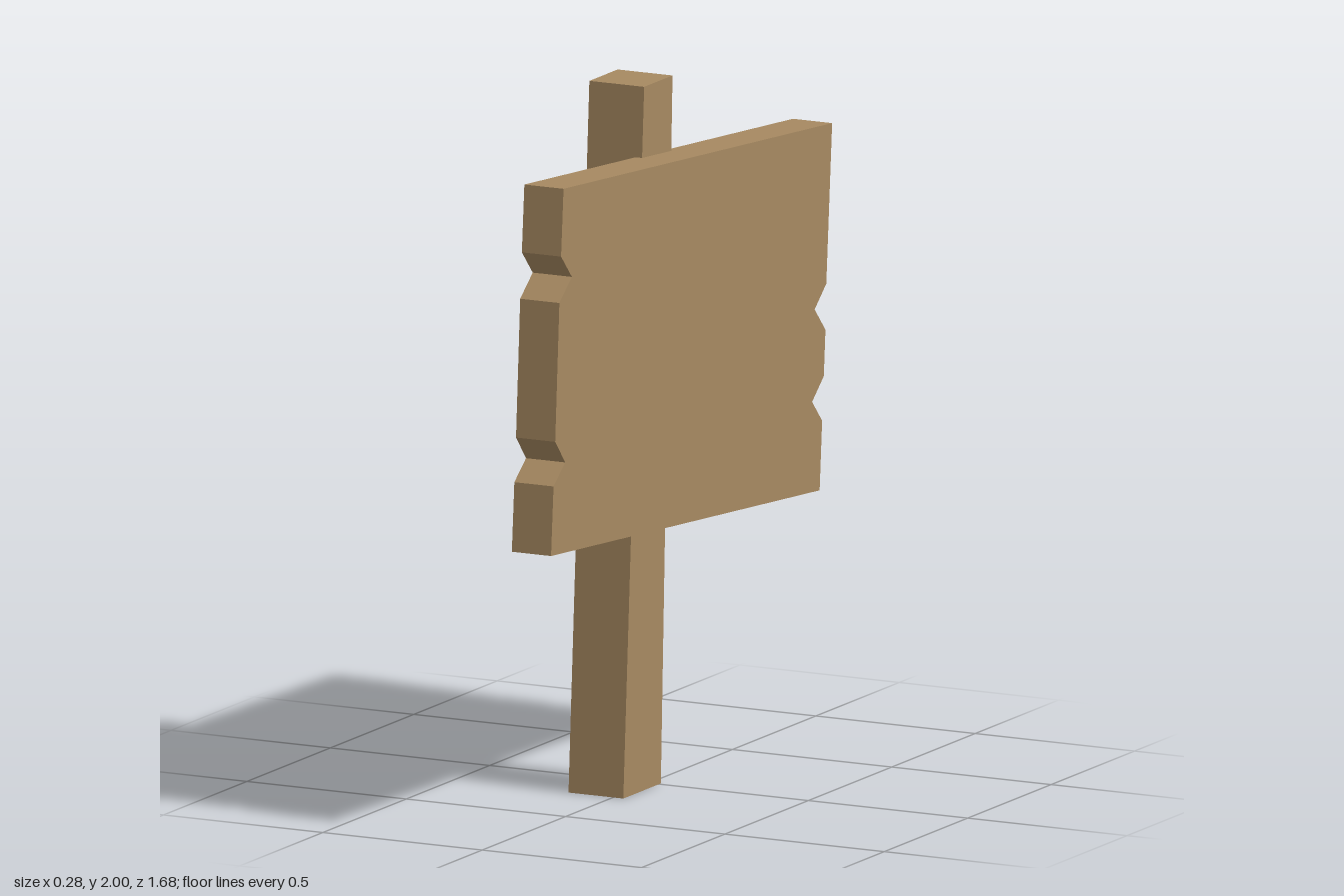
import * as THREE from 'three';

// Cuts a plank from a [z, y] outline and gives it thickness from x0 to x1
function plank(name, outline, x0, x1, material) {
  const shape = new THREE.Shape(outline.map(([z, y]) => new THREE.Vector2(-z, y)));
  const geometry = new THREE.ExtrudeGeometry(shape, { depth: x1 - x0, bevelEnabled: false });
  geometry.rotateY(Math.PI / 2).translate(x0, 0, 0);
  const mesh = new THREE.Mesh(geometry, material);
  mesh.name = name;
  return mesh;
}

export function createModel() {
  const model = new THREE.Group();
  model.name = 'woodenSign';
  const wood = new THREE.MeshStandardMaterial({ color: 0xa68961 });
  wood.name = 'wood';

  // Leaning post, narrower at the top
  const post = [[0.215, 0], [-0.01, 0], [-0.08, 2], [0.09, 2]];

  // Tilted board with two splintered notches on each end
  const board = [
    [0.77, 1.85], [0.785, 1.66], [0.72, 1.59], [0.795, 1.53],
    [0.82, 1.14], [0.76, 1.07], [0.83, 1.015], [0.845, 0.82],
    [-0.765, 0.7], [-0.78, 0.895], [-0.72, 0.96], [-0.79, 1.02],
    [-0.8, 1.15], [-0.735, 1.22], [-0.805, 1.28], [-0.84, 1.73],
  ];

  model.add(
    plank('post', post, -0.14, 0.032, wood),
    plank('board', board, 0.012, 0.135, wood),
  );
  return model;
}
